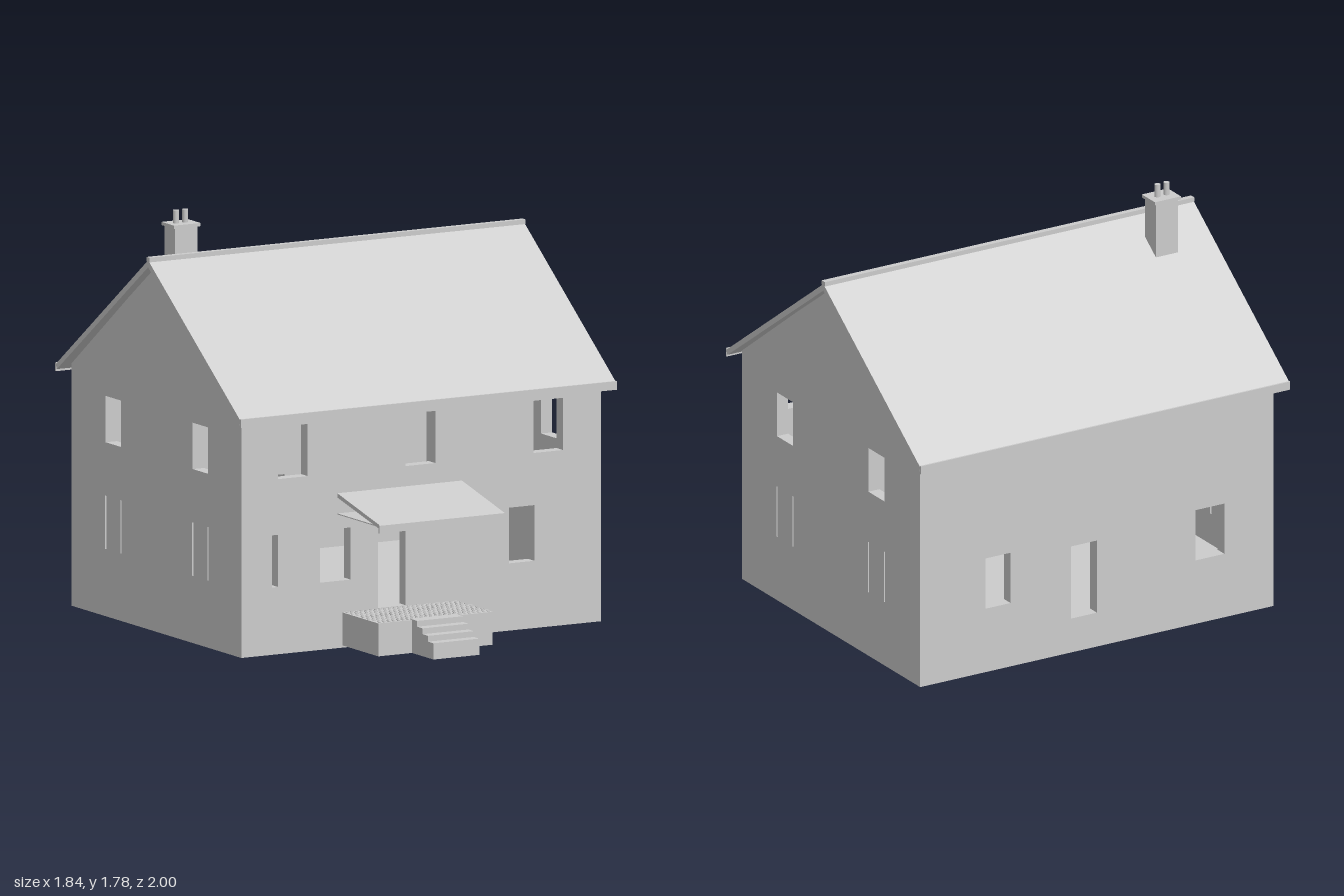
import * as THREE from 'three';
import { mergeGeometries } from 'three/addons/utils/BufferGeometryUtils.js';

const mat = new THREE.MeshStandardMaterial({ color: 0xcccccc, side: THREE.DoubleSide });
const HX = 0.88, ZF = 0.513, ZB = -0.93, T = 0.055; // wall faces and thickness
const RIDGE_Z = -0.21, RIDGE_Y = 1.605, SPAN = 0.786, EAVE_Y = 1.035;

export function createModel() {
  const house = new THREE.Group();
  house.name = 'house';

  const add = (name, geometry, x = 0, y = 0, z = 0) => {
    const mesh = new THREE.Mesh(geometry, mat);
    mesh.name = name;
    mesh.position.set(x, y, z);
    house.add(mesh);
    return mesh;
  };
  // box given by its limits
  const box = (name, x0, x1, y0, y1, z0, z1) =>
    add(name, new THREE.BoxGeometry(x1 - x0, y1 - y0, z1 - z0),
      (x0 + x1) / 2, (y0 + y1) / 2, (z0 + z1) / 2);
  // outline with rectangular openings [a0, a1, y0, y1], extruded
  const panel = (points, openings, depth) => {
    const shape = new THREE.Shape(points.map(p => new THREE.Vector2(...p)));
    for (const [a0, a1, y0, y1] of openings) {
      shape.holes.push(new THREE.Path(
        [[a0, y0], [a0, y1], [a1, y1], [a1, y0]].map(p => new THREE.Vector2(...p))));
    }
    return new THREE.ExtrudeGeometry(shape, { depth, bevelEnabled: false });
  };
  // profile drawn in (z, y), running from x0 to x1
  const acrossX = (name, points, openings, x0, x1) =>
    add(name, panel(points, openings, x1 - x0).rotateY(-Math.PI / 2), x1);

  // front and back walls
  const W = HX - T, wallTop = 1.045;
  const longWall = [[-W, 0], [W, 0], [W, wallTop], [-W, wallTop]];
  add('frontWall', panel(longWall, [
    [-0.70, -0.555, 0.755, 0.98], [-0.075, 0.07, 0.755, 0.98], [0.55, 0.695, 0.755, 0.98],
    [-0.73, -0.70 + 0.0001, 0.29, 0.515], [-0.495, -0.345, 0.29, 0.515],
    [-0.21, -0.075, 0.155, 0.485], [0.43, 0.555, 0.29, 0.53],
  ], T), 0, 0, ZF - T);
  add('backWall', panel(longWall, [
    [0.43, 0.555, 0.29, 0.52], [0.0, 0.13, 0.155, 0.485], [-0.635, -0.49, 0.29, 0.52],
  ], T), 0, 0, ZB);

  // gable walls with windows and narrow slits
  const gable = [[ZB, 0], [ZF, 0], [ZF, wallTop], [RIDGE_Z, 1.58], [ZB, wallTop]];
  const gableOpenings = [[0.10, 0.23, 0.75, 0.95], [-0.64, -0.51, 0.75, 0.95]];
  for (const z of [0.10, 0.23, -0.51, -0.64]) {
    gableOpenings.push([z - 0.005, z + 0.005, 0.29, 0.52]);
  }
  acrossX('leftGableWall', gable, gableOpenings, HX - T, HX);
  acrossX('rightGableWall', gable, gableOpenings, -HX, -HX + T);

  // ground floor slab
  box('floor', -W, W, 0.09, 0.15, ZB + T, ZF - T);

  // roof slopes, eaves boards and ridge cap
  acrossX('roof', [
    [RIDGE_Z - SPAN, EAVE_Y], [RIDGE_Z - SPAN + 0.01, EAVE_Y - 0.02], [RIDGE_Z, RIDGE_Y - 0.03],
    [RIDGE_Z + SPAN - 0.01, EAVE_Y - 0.02], [RIDGE_Z + SPAN, EAVE_Y], [RIDGE_Z, RIDGE_Y],
  ], [], -0.92, 0.92);
  for (const s of [1, -1]) {
    const z = RIDGE_Z + s * SPAN;
    box('eavesBoard', -0.92, 0.92, 1.005, 1.042, z - 0.004, z + 0.004);
  }
  box('ridgeCap', -0.92, 0.92, 1.598, 1.618, RIDGE_Z - 0.013, RIDGE_Z + 0.013);

  // chimney with two pots
  box('chimneyStack', -0.73, -0.62, 1.40, 1.712, -0.40, -0.31);
  box('chimneyCap', -0.74, -0.61, 1.71, 1.724, -0.408, -0.302);
  for (const x of [-0.70, -0.655]) {
    add('chimneyPot', new THREE.CylinderGeometry(0.013, 0.013, 0.06, 16), x, 1.75, -0.355);
  }

  // sloping porch canopy with lip and thin soffit
  acrossX('canopy', [
    [ZF, 0.65], [0.878, 0.568], [0.878, 0.585], [ZF, 0.668],
  ], [], -0.41, 0.2);
  box('canopyLip', -0.415, 0.2, 0.552, 0.585, 0.872, 0.88);
  box('canopySoffit', -0.41, 0.2, 0.577, 0.581, ZF, 0.875);

  // porch landing with studded top
  box('landing', -0.385, 0.175, 0.01, 0.152, ZF, 0.818);
  const studs = [];
  for (let i = 0; i < 24; i++) {
    for (let j = 0; j < 13; j++) {
      studs.push(new THREE.CylinderGeometry(0.006, 0.006, 0.004, 6)
        .translate(-0.371 + i * 0.0232 + (j % 2) * 0.008, 0.153, ZF + 0.014 + j * 0.023));
    }
  }
  add('landingStuds', mergeGeometries(studs));

  // entrance steps
  const steps = [[0.80, 0.01], [1.0, 0.01]];
  for (let i = 0; i < 4; i++) {
    const y = 0.08 + i * 0.025;
    steps.push([1.0 - i * 0.046, y], [1.0 - (i + 1) * 0.046, y]);
  }
  steps[steps.length - 1][0] = 0.80;
  acrossX('entranceSteps', steps, [], -0.22, 0.005);

  return house;
}
